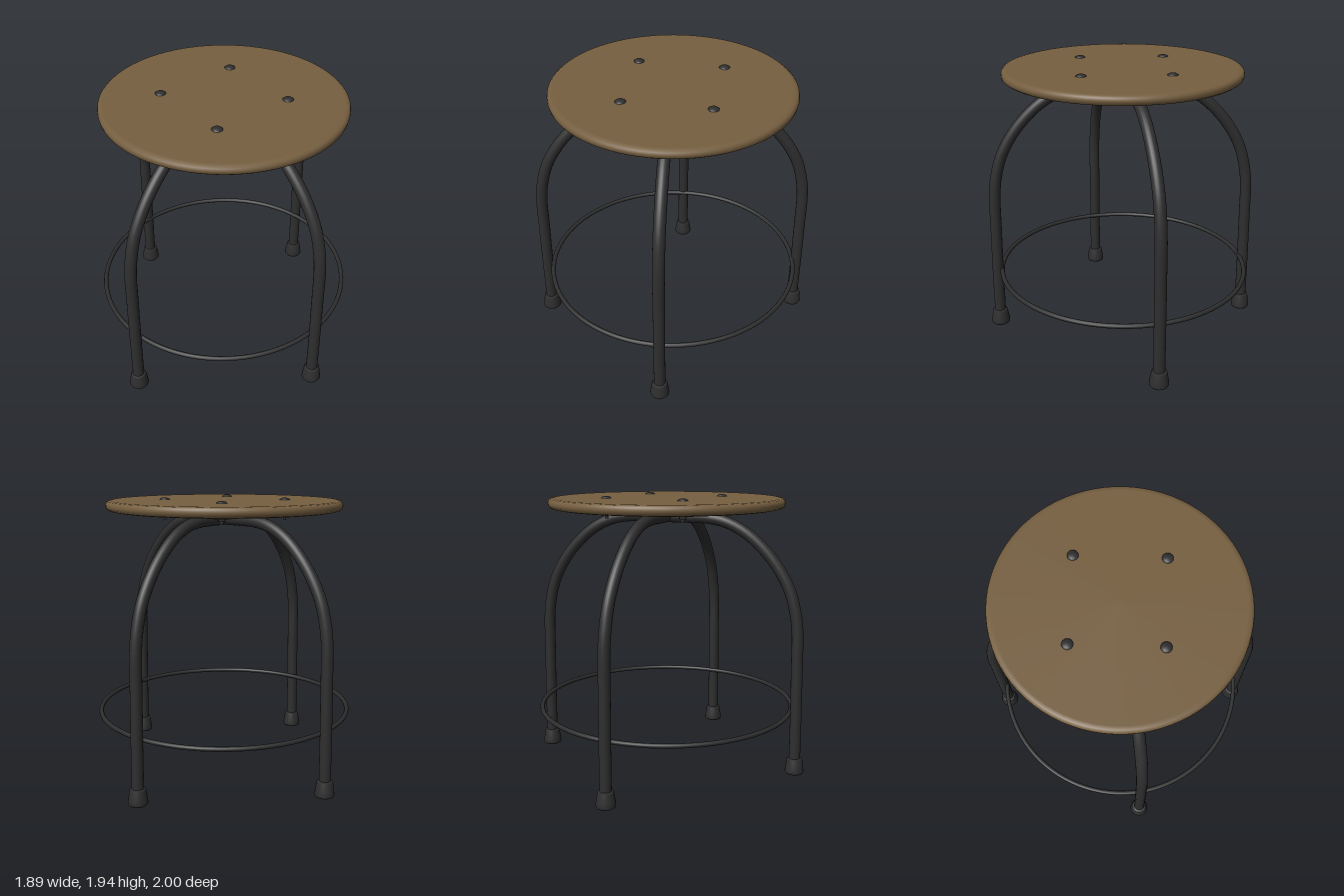
import * as THREE from 'three';

const metal = new THREE.MeshStandardMaterial({ color: 0x2e2e2e });
metal.name = 'blackened metal';
const wood = new THREE.MeshStandardMaterial({ color: 0x765f40 });
wood.name = 'brown wood';

const lathe = (points, segments) =>
  new THREE.LatheGeometry(points.map(([r, y]) => new THREE.Vector2(r, y)), segments);

function part(parent, name, geometry, material, x = 0, y = 0, z = 0) {
  const mesh = new THREE.Mesh(geometry, material);
  mesh.name = name;
  mesh.position.set(x, y, z);
  parent.add(mesh);
  return mesh;
}

// Half arch profile: fraction of the foot's offset from the centre, height
const ARCH = [
  [1, 0.04], [0.997, 0.4], [0.99, 0.8], [0.985, 1.02], [0.965, 1.16], [0.91, 1.33],
  [0.785, 1.52], [0.61, 1.68], [0.45, 1.76], [0.31, 1.787], [0.15, 1.79],
];

// Each arch is one bent tube running from foot to foot
function legArch(a, b) {
  const at = (foot) => ([t, y]) => new THREE.Vector3(foot[0] * t, y, foot[1] * t);
  const points = [
    ...ARCH.map(at(a)), new THREE.Vector3(0, 1.79, 0), ...ARCH.map(at(b)).reverse(),
  ];
  return new THREE.TubeGeometry(new THREE.CatmullRomCurve3(points, false, 'centripetal'), 96, 0.04, 20);
}

// Square mounting plate with clipped corners and shallow notches in each side
function plateGeometry() {
  const side = [[0.35, 0.39], [0.2, 0.39], [0.16, 0.365], [-0.16, 0.365], [-0.2, 0.39], [-0.35, 0.39]];
  const points = [];
  for (let i = 0; i < 4; i++) {
    for (const [x, y] of side) {
      points.push(new THREE.Vector2(x, y).rotateAround(new THREE.Vector2(), i * Math.PI / 2));
    }
  }
  const geometry = new THREE.ExtrudeGeometry(new THREE.Shape(points), { depth: 0.018, bevelEnabled: false });
  return geometry.rotateX(-Math.PI / 2);
}

export function createModel() {
  const stool = new THREE.Group();
  stool.name = 'stool';

  // Round wooden seat with softened rims
  part(stool, 'seat', lathe([
    [0, 1.85], [0.77, 1.852], [0.8, 1.858], [0.816, 1.87], [0.82, 1.89],
    [0.816, 1.908], [0.803, 1.919], [0.78, 1.923], [0, 1.923],
  ], 80), wood, 0, 0, -0.005);

  // Crossing leg arches
  const feet = [[0.877, 0.295], [-0.877, -0.3], [-0.193, 0.933], [0.19, -0.933]];
  part(stool, 'sideLegArch', legArch(feet[0], feet[1]), metal);
  part(stool, 'frontBackLegArch', legArch(feet[2], feet[3]), metal);

  // Flared foot caps
  const footGeometry = lathe([
    [0, 0], [0.062, 0], [0.067, 0.008], [0.064, 0.04], [0.054, 0.1], [0.049, 0.111], [0, 0.112],
  ], 24);
  for (const [x, z] of feet) part(stool, 'footCap', footGeometry, metal, x, 0, z);

  // Foot ring
  const ring = part(stool, 'footRing', new THREE.TorusGeometry(0.89, 0.016, 12, 96), metal, 0, 0.437, -0.005);
  ring.rotation.x = Math.PI / 2;
  ring.scale.y = 1.02;

  // Mounting plate and the four bolts holding the seat to it
  const mount = new THREE.Group();
  mount.name = 'seatMount';
  mount.position.set(-0.006, 0, -0.014);
  mount.rotation.y = -0.395;
  stool.add(mount);
  part(mount, 'mountingPlate', plateGeometry(), metal, 0, 1.828, 0);

  const boltHead = lathe([[0.037, 0], [0.036, 0.005], [0.027, 0.012], [0.014, 0.016], [0, 0.017]], 20);
  const shank = new THREE.CylinderGeometry(0.012, 0.012, 0.12, 12);
  const nut = new THREE.CylinderGeometry(0.026, 0.026, 0.022, 6);
  for (const x of [-0.295, 0.295]) {
    for (const z of [-0.295, 0.295]) {
      part(mount, 'boltHead', boltHead, metal, x, 1.921, z);
      part(mount, 'boltShank', shank, metal, x, 1.845, z);
      part(mount, 'nut', nut, metal, x, 1.817, z);
    }
  }
  return stool;
}
